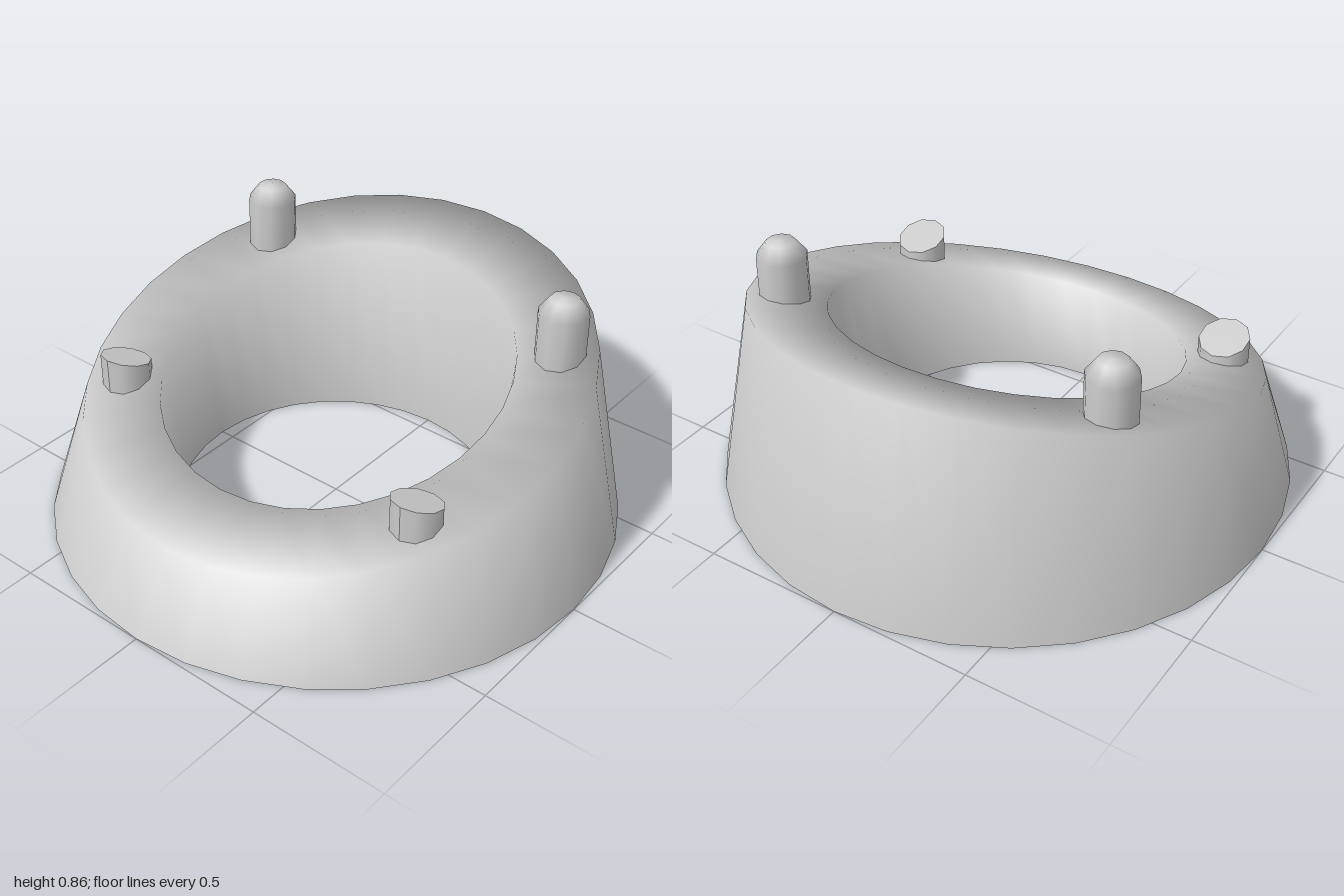
import * as THREE from 'three';
import { mergeVertices } from 'three/addons/utils/BufferGeometryUtils.js';

const TILT = 0.28; // slope angle of the top face, in radians
const RIM_Y = 0.525; // height of the top face at the centre

const material = new THREE.MeshStandardMaterial({ color: 0xcccccc, side: THREE.DoubleSide });
const points = (list) => list.map(([r, y]) => new THREE.Vector2(r, y));

// Hollow ring, open below: outer wall, sloping top and inner wall share smooth normals
function ringGeometry() {
  let geo = new THREE.LatheGeometry(points([[1, 0], [0.885, RIM_Y], [0.613, RIM_Y], [0.55, 0]]), 32);
  const p = geo.attributes.position;
  for (let i = 0; i < p.count; i++) {
    if (p.getY(i) < 0.01) continue;
    const z = p.getZ(i);
    p.setY(i, RIM_Y - z * Math.sin(TILT));
    p.setZ(i, z * Math.cos(TILT));
  }
  geo.deleteAttribute('normal');
  geo.deleteAttribute('uv');
  geo = mergeVertices(geo, 1e-4);
  geo.computeVertexNormals();
  return geo;
}

// Tall pin with a domed tip
function rearPinGeometry() {
  return new THREE.LatheGeometry(
    points([[0, 0.22], [0.087, 0.22], [0.087, 0.8], [0.05, 0.85], [0, 0.857]]), 10);
}

// Short pin whose top is cut at a slant, rising to the front
function frontPinGeometry() {
  const bottom = 0.2, top = 0.495;
  const geo = new THREE.CylinderGeometry(0.087, 0.087, top - bottom, 10);
  geo.translate(0, (top + bottom) / 2, 0);
  const p = geo.attributes.position;
  for (let i = 0; i < p.count; i++) {
    if (p.getY(i) > top - 0.01) p.setY(i, top + 0.3 * p.getZ(i));
  }
  geo.computeVertexNormals();
  return geo;
}

export function createModel() {
  const group = new THREE.Group();
  const add = (name, geo, x = 0, z = 0) => {
    const mesh = new THREE.Mesh(geo, material);
    mesh.name = name;
    mesh.position.set(x, 0, z);
    group.add(mesh);
  };

  add('slopedRing', ringGeometry());

  // Pins, mirrored left and right
  const rear = rearPinGeometry();
  const front = frontPinGeometry();
  for (const [side, x] of [['Left', 0.63], ['Right', -0.63]]) {
    add('rearPin' + side, rear, x, -0.4);
    add('frontPin' + side, front, x, 0.377);
  }
  return group;
}
